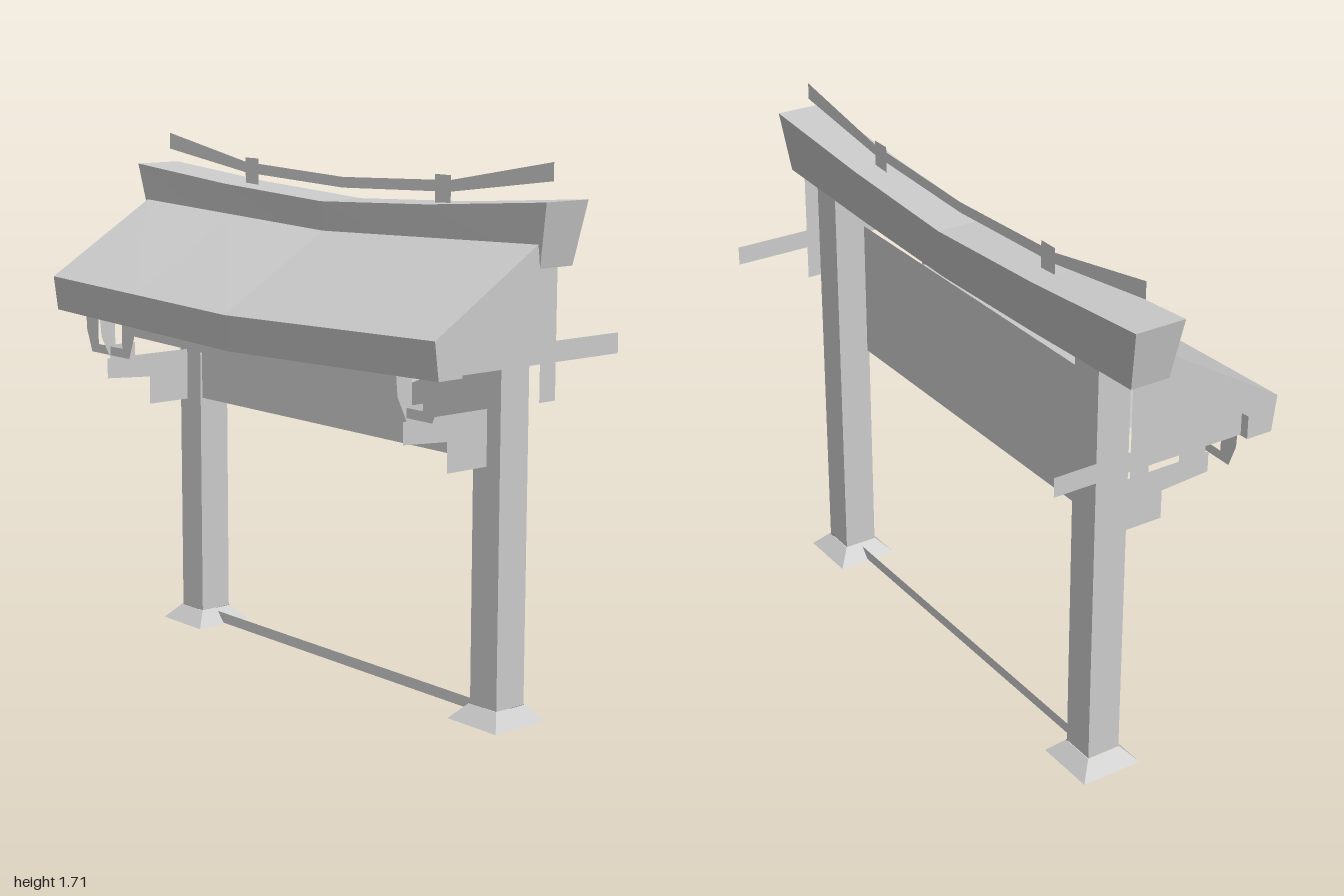
import * as THREE from 'three';

const grey = new THREE.MeshStandardMaterial({ color: 0xcccccc, side: THREE.DoubleSide, flatShading: true });
grey.name = 'plain grey';

// Sweeps a [z, y, sag, endX] profile along x; the middle hangs lower by sag,
// and the quarter points hang by the given share of it.
function loft(profile, quarterSag, closed = true) {
  const stations = [-1, -0.5, 0, 0.5, 1];
  const hang = [0, quarterSag, 1, quarterSag, 0];
  const pos = [];
  const at = (s, [z, y, sag, endX]) => new THREE.Vector3(stations[s] * endX, y - sag * hang[s], z);
  const tri = (...points) => points.forEach(p => pos.push(p.x, p.y, p.z));
  const n = profile.length;
  for (let s = 0; s < stations.length - 1; s++) {
    for (let j = 0; j < (closed ? n : n - 1); j++) {
      const a = at(s, profile[j]), b = at(s, profile[(j + 1) % n]);
      const c = at(s + 1, profile[(j + 1) % n]), d = at(s + 1, profile[j]);
      tri(a, b, c);
      tri(a, c, d);
    }
  }
  // end caps
  if (closed) {
    const flat = profile.map(([z, y]) => new THREE.Vector2(z, y));
    for (const [i, j, k] of THREE.ShapeUtils.triangulateShape(flat, [])) {
      const ccw = THREE.ShapeUtils.area([flat[i], flat[j], flat[k]]) > 0;
      const order = ccw ? [i, j, k] : [k, j, i];
      tri(...order.map(q => at(0, profile[q])));
      tri(...order.reverse().map(q => at(4, profile[q])));
    }
  }
  const geo = new THREE.BufferGeometry();
  geo.setAttribute('position', new THREE.Float32BufferAttribute(pos, 3));
  geo.computeVertexNormals();
  return geo;
}

const plate = points => new THREE.ShapeGeometry(new THREE.Shape(points.map(p => new THREE.Vector2(...p))));
// Plate drawn as [z, y], facing sideways
const sidePlate = points => plate(points).rotateY(-Math.PI / 2);
// Open square tube given by its half widths
const squareTube = (top, bottom, height) =>
  new THREE.CylinderGeometry(top * Math.SQRT2, bottom * Math.SQRT2, height, 4, 1, true).rotateY(Math.PI / 4);

export function createModel() {
  const model = new THREE.Group();
  const add = (name, geo, x = 0, y = 0, z = 0, parent = model) => {
    const mesh = new THREE.Mesh(geo, grey);
    mesh.name = name;
    mesh.position.set(x, y, z);
    parent.add(mesh);
  };
  const midZ = -0.085;
  const railShift = 0.008;

  // Ridge beam, wider at the top, and the single front roof slope
  add('ridgeBeam', loft([
    [-0.15, 1.41, 0.03, 0.96], [-0.17, 1.603, 0.064, 1],
    [0, 1.603, 0.064, 1], [-0.018, 1.41, 0.03, 0.96],
  ], 0.62));
  add('roofSlope', loft([
    [0.28, 1.125, 0.03, 0.96], [0.28, 1.2, 0.03, 0.96], [-0.02, 1.41, 0.03, 0.96],
    [-0.01, 1.48, 0.035, 0.96], [0.385, 1.24, 0.03, 0.96], [0.37, 1.125, 0.03, 0.96],
  ], 0.5));
  // Sloping sheet under the eave with an upright front edge
  add('soffit', loft([
    [-0.025, 1.12, 0.015, 0.685], [0.278, 1.06, 0.015, 0.685], [0.278, 1.19, 0.025, 0.685],
  ], 0.55, false));

  // Curved finial rail on the ridge
  const railTop = [[-0.935, 1.71], [-0.5, 1.632], [0, 1.612], [0.5, 1.632], [0.935, 1.71]];
  const railBottom = [[0.935, 1.655], [0.5, 1.597], [0, 1.578], [-0.5, 1.597], [-0.935, 1.655]];
  add('finialRail', plate([...railTop, ...railBottom]), railShift, 0, midZ);

  // Board near the front of the posts and ground sill
  add('wallBoard', new THREE.PlaneGeometry(1.37, 0.465), 0, 1.0425, -0.035);
  add('groundSill', new THREE.PlaneGeometry(1.37, 0.036), 0, 0.022, midZ);

  for (const [side, s] of [['left', 1], ['right', -1]]) {
    const half = new THREE.Group();
    half.name = side + 'Side';
    model.add(half);

    add('post', squareTube(0.0575, 0.0575, 1.36), s * 0.742, 0.73, midZ, half);
    add('postBase', squareTube(0.06, 0.106, 0.05), s * 0.742, 0.025, midZ, half);
    add('railClip', plate([[-0.035, 1.55], [0.035, 1.55], [0.035, 1.647], [-0.035, 1.647]]),
      s * 0.469 + railShift, 0, midZ, half);

    // Gable sheet with cross-shaped tail
    add('gablePlate', sidePlate([
      [0.28, 1.2], [-0.02, 1.41], [-0.12, 1.41], [-0.12, 1.19], [-0.383, 1.19], [-0.383, 1.127],
      [-0.12, 1.127], [-0.12, 1.013], [-0.055, 1.013], [-0.055, 1.127], [0.28, 1.127],
    ]), s * 0.93, 0, 0, half);

    // Stepped bracket below the eave: side profile plus a cup facing forward
    add('steppedBracket', sidePlate([
      [-0.02, 0.8], [0.14, 0.8], [0.14, 0.895], [0.313, 0.907], [0.313, 0.975], [-0.02, 0.975],
    ]), s * 0.75, 0, 0, half);
    add('bracketHook', sidePlate([
      [0.2, 0.975], [0.3, 0.975], [0.335, 1.05], [0.342, 1.125], [0.28, 1.125], [0.28, 1.02], [0.2, 1.02],
    ]), s * 0.75, 0, 0, half);
    add('bracketCup', plate([
      [-0.11, 0.985], [0.11, 0.985], [0.14, 1.06], [0.143, 1.125], [0.07, 1.125], [0.07, 1.015],
      [-0.07, 1.015], [-0.07, 1.125], [-0.143, 1.125], [-0.14, 1.06],
    ]), s * 0.75, 0, 0.3, half);
  }
  return model;
}
